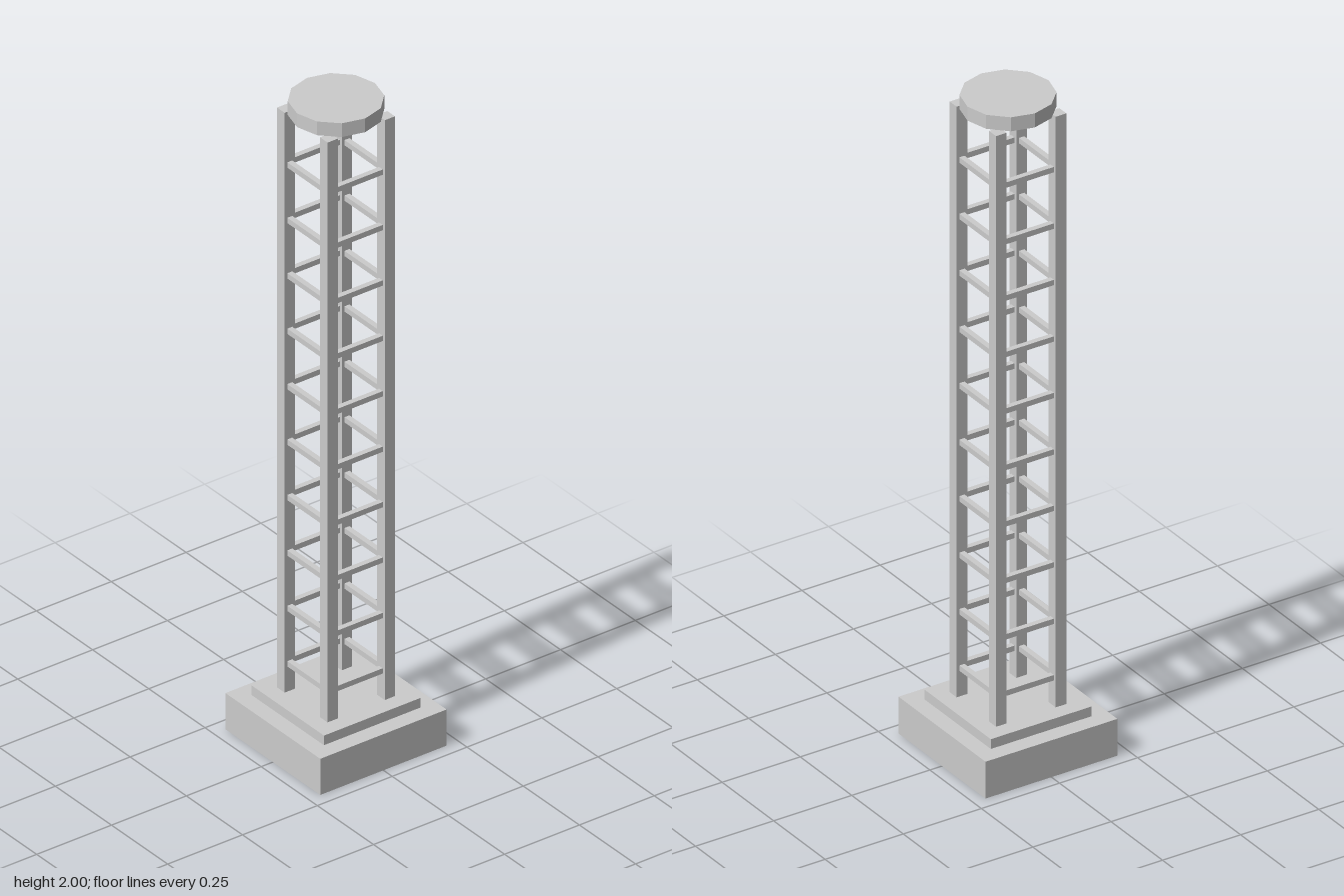
import * as THREE from 'three';

export function createModel() {
  const tower = new THREE.Group();
  tower.name = 'latticeTower';
  const material = new THREE.MeshStandardMaterial({ color: 0xcccccc, flatShading: true });

  const add = (name, geometry, x, y, z) => {
    const mesh = new THREE.Mesh(geometry, material);
    mesh.name = name;
    mesh.position.set(x, y, z);
    tower.add(mesh);
  };
  const box = (name, w, h, d, x, y, z) => add(name, new THREE.BoxGeometry(w, h, d), x, y, z);

  // Stepped square footing
  const baseTop = 0.113, plinthTop = 0.143, capBottom = 1.957;
  box('base', 0.422, baseTop, 0.422, 0, baseTop / 2, 0);
  box('plinth', 0.322, plinthTop - baseTop, 0.322, 0, (baseTop + plinthTop) / 2, 0);

  // Four corner posts
  const offset = 0.0955, postWidth = 0.034;
  for (const sx of [-1, 1]) {
    for (const sz of [-1, 1]) {
      box('cornerPost', postWidth, capBottom - plinthTop, postWidth,
        sx * offset, (plinthTop + capBottom) / 2, sz * offset);
    }
  }

  // Ten rings of horizontal rungs between the posts
  const rungLength = 2 * offset - postWidth, rung = 0.0165;
  for (let i = 0; i < 10; i++) {
    const y = 0.23 + i * 0.1734;
    for (const s of [-1, 1]) {
      box('crossRung', rungLength, rung, rung, 0, y, s * offset);
      box('sideRung', rung, rung, rungLength, s * offset, y, 0);
    }
  }

  // Twelve-sided cap
  add('cap', new THREE.CylinderGeometry(0.13, 0.13, 2 - capBottom, 12), 0, (2 + capBottom) / 2, 0);

  return tower;
}
